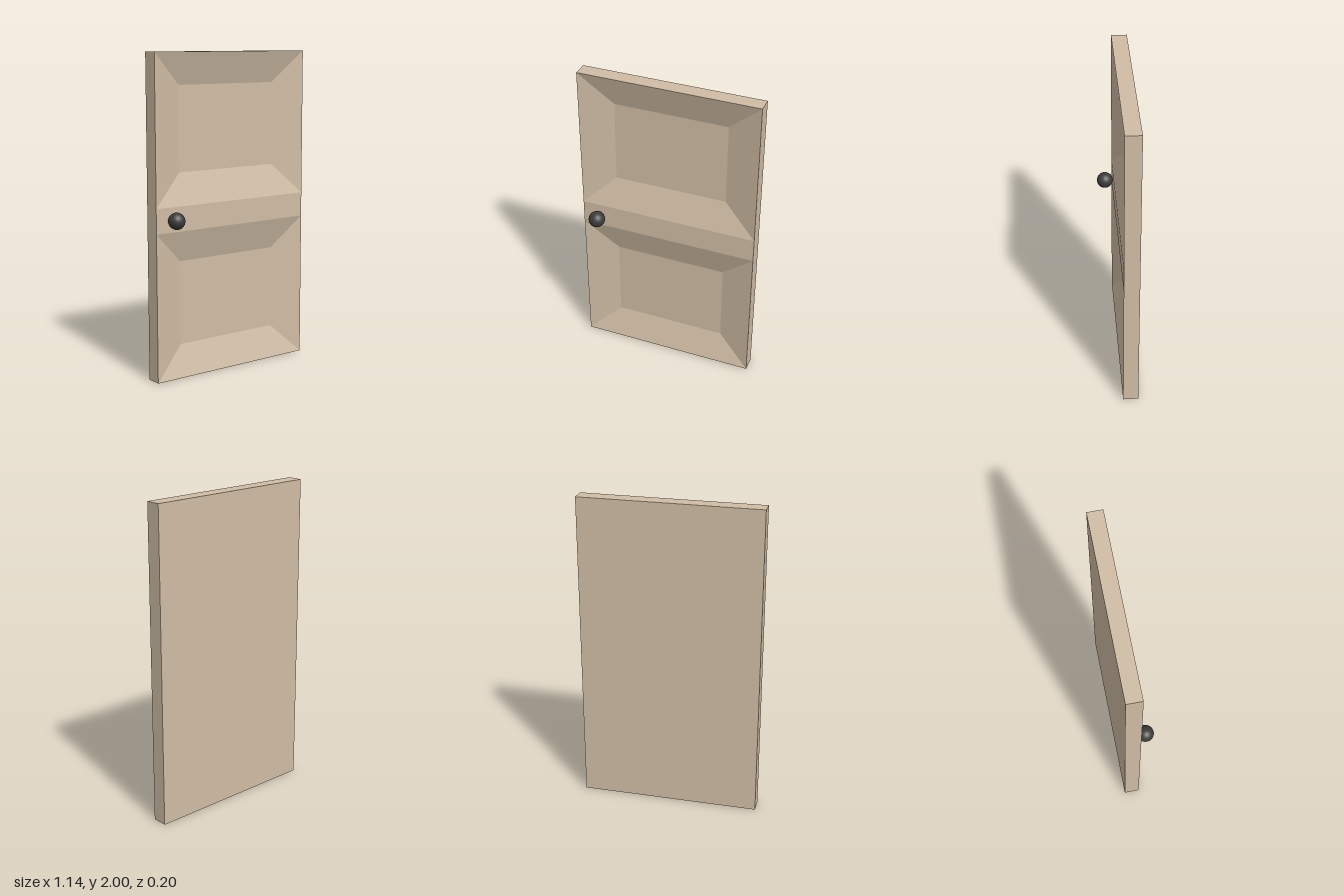
import * as THREE from 'three';

const W = 0.57, H = 2, BACK = -0.1, FRONT = -0.003;
const RAIL_LOW = 0.923, RAIL_HIGH = 1.077; // middle rail
const BEVEL_X = 0.21, BEVEL_Y = 0.198, DEPTH = 0.06;

// Rectangle corners, counter-clockwise seen from +z
const rect = (w, y0, y1, z) => [[-w, y0, z], [w, y0, z], [w, y1, z], [-w, y1, z]];

// Flat-shaded geometry from four-cornered faces
function quadGeometry(quads) {
  const pos = quads.flatMap(([a, b, c, d]) => [a, b, c, a, c, d].flat());
  const geo = new THREE.BufferGeometry();
  geo.setAttribute('position', new THREE.Float32BufferAttribute(pos, 3));
  geo.computeVertexNormals();
  return geo;
}

// Faces joining two matching corner loops
const band = (outer, inner) => outer.map((p, i) => {
  const j = (i + 1) % 4;
  return [p, outer[j], inner[j], inner[i]];
});

function mesh(name, geometry, material) {
  const m = new THREE.Mesh(geometry, material);
  m.name = name;
  return m;
}

export function createModel() {
  const group = new THREE.Group();
  group.name = 'door';
  const wood = new THREE.MeshStandardMaterial({ color: 0xd0bda5 });
  const dark = new THREE.MeshStandardMaterial({ color: 0x3c3c3c });

  // Slab: back, four edges and the flat middle rail
  const back = rect(W, 0, H, BACK);
  const slab = [
    [...back].reverse(),
    ...band(back, rect(W, 0, H, FRONT)),
    rect(W, RAIL_LOW, RAIL_HIGH, FRONT),
  ];
  group.add(mesh('slab', quadGeometry(slab), wood));

  // Two sunken panels with sloping borders
  for (const [name, y0, y1] of [['lowerPanel', 0, RAIL_LOW], ['upperPanel', RAIL_HIGH, H]]) {
    const inner = rect(W - BEVEL_X, y0 + BEVEL_Y, y1 - BEVEL_Y, FRONT - DEPTH);
    group.add(mesh(name, quadGeometry([...band(rect(W, y0, y1, FRONT), inner), inner]), wood));
  }

  // Round knob on the middle rail
  const knob = mesh('knob', new THREE.SphereGeometry(0.052, 32, 16), dark);
  knob.position.set(-0.458, 1, 0.048);
  group.add(knob);

  return group;
}
